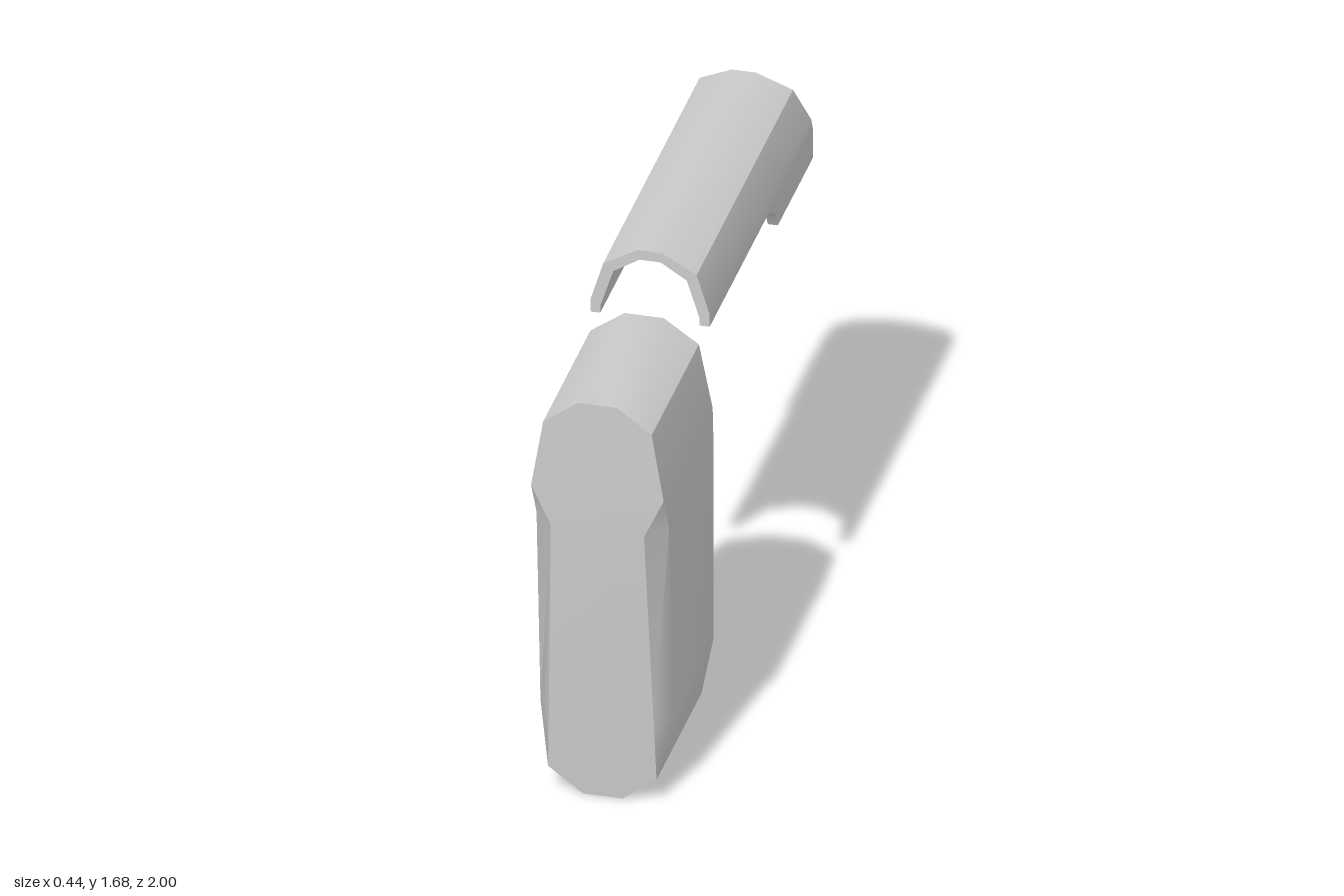
import * as THREE from 'three';
import { toCreasedNormals } from 'three/addons/utils/BufferGeometryUtils.js';

// Skins a row of closed rings and caps both ends. Every ring is mirrored,
// so point i is paired with point n-1-i across the caps.
function loft(rings) {
  const pos = [];
  const n = rings[0].length;
  const tri = (a, b, c) => {
    const area = b.clone().sub(a).cross(c.clone().sub(a)).length();
    if (area > 1e-7) pos.push(...a.toArray(), ...b.toArray(), ...c.toArray());
  };
  const quad = (a, b, c, d) => { tri(a, b, c); tri(a, c, d); };
  for (let r = 0; r < rings.length - 1; r++) {
    const p = rings[r], q = rings[r + 1];
    for (let j = 0; j < n; j++) {
      const k = (j + 1) % n;
      quad(p[j], p[k], q[k], q[j]);
    }
  }
  const s = rings[0], e = rings[rings.length - 1];
  for (let i = 0; i < n / 2 - 1; i++) {
    quad(s[n - 1 - i], s[n - 2 - i], s[i + 1], s[i]);
    quad(e[i], e[i + 1], e[n - 2 - i], e[n - 1 - i]);
  }
  const g = new THREE.BufferGeometry();
  g.setAttribute('position', new THREE.Float32BufferAttribute(pos, 3));
  return toCreasedNormals(g, 0.69);
}

// Upright grip block: y, front half width, side half width, front z, side edge z, back z
function gripGeometry() {
  const rows = [
    [0, 0.065, 0.065, 0.93, 0.93, 0.36],
    [0.09, 0.18, 0.18, 0.937, 0.937, 0.36],
    [0.30, 0.174, 0.22, 0.95, 0.88, 0.36],
    [1.02, 0.155, 0.22, 1, 0.93, 0.36],
    [1.16, 0.22, 0.22, 1, 1, 0.372],
    [1.40, 0.18, 0.18, 1, 1, 0.393],
    [1.485, 0.065, 0.065, 1, 1, 0.40],
  ];
  return loft(rows.map(([y, xf, xs, zf, zs, zb]) =>
    [[xf, zf], [xs, zs], [xs, zb], [-xs, zb], [-xs, zs], [-xf, zf]]
      .map(([x, z]) => new THREE.Vector3(x, y, z))));
}

// Arched cover: a thin shell with a slanted rear end and deeper rear skirts
function coverGeometry() {
  const outer = [[0.198, 1.43], [0.198, 1.475], [0.155, 1.615], [0.04, 1.68]];
  const inner = [[0.165, 1.43], [0.165, 1.455], [0.122, 1.59], [0.035, 1.645]];
  const mirrored = (half) => [...half, ...half.map(([x, y]) => [-x, y]).reverse()];
  const rearZ = (y) => -1 + Math.max(0, y - 1.43) * 0.48;
  // Station z (null follows the slanted rear) and height of the lower edge
  const stations = [[null, 1.32], [-0.55, 1.32], [-0.51, 1.39], [-0.43, 1.43], [0.325, 1.43]];
  return loft(stations.map(([z, low]) => {
    const ring = [
      ...mirrored([[0.198, low], ...outer]),
      ...mirrored([[0.165, low], ...inner]).reverse(),
    ];
    return ring.map(([x, y]) => new THREE.Vector3(x, y, z === null ? rearZ(y) : z));
  }));
}

export function createModel() {
  const group = new THREE.Group();
  const material = new THREE.MeshStandardMaterial({ color: 0xcccccc });
  const add = (name, geometry) => {
    const mesh = new THREE.Mesh(geometry, material);
    mesh.name = name;
    group.add(mesh);
  };
  add('gripBlock', gripGeometry());
  add('archedCover', coverGeometry());
  return group;
}
